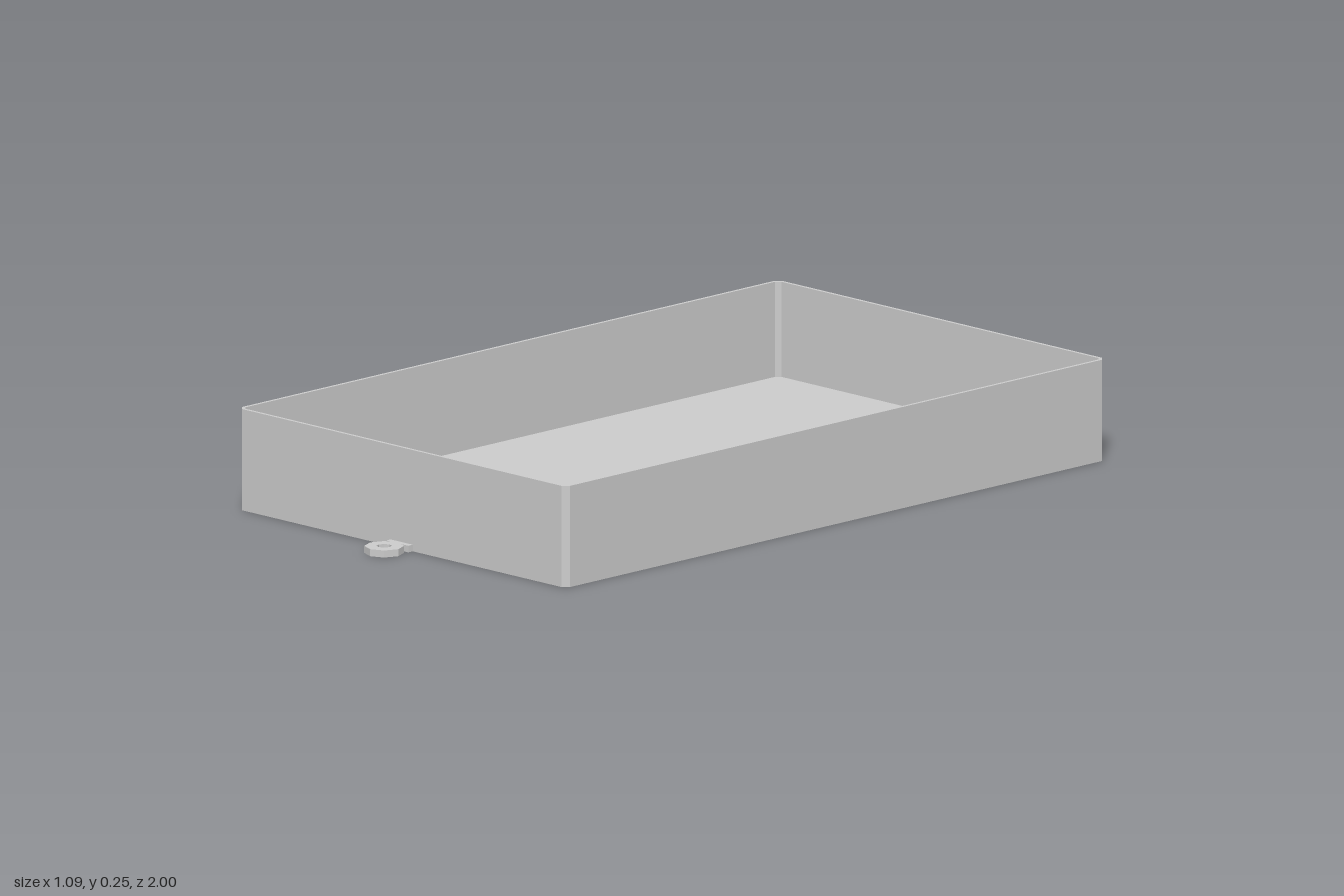
import * as THREE from 'three';

const W = 0.547, L = 0.895, H = 0.245;      // half width, half length, wall height
const WALL = 0.008, FLOOR = 0.015, CUT = 0.014;

// Rectangle with chamfered corners, as outline points
function chamferedRect(w, l, c) {
  return [
    [w, -l + c], [w, l - c], [w - c, l], [-w + c, l],
    [-w, l - c], [-w, -l + c], [-w + c, -l], [w - c, -l],
  ].map(([x, y]) => new THREE.Vector2(x, y));
}

// Regular polygon with a corner on the x axis
function polygon(radius, sides) {
  return Array.from({ length: sides }, (_, i) => {
    const a = (i / sides) * Math.PI * 2;
    return new THREE.Vector2(radius * Math.cos(a), radius * Math.sin(a));
  });
}

// Flat outline raised upwards from y = 0
function slab(outline, height, hole) {
  const shape = new THREE.Shape(outline);
  if (hole) shape.holes.push(new THREE.Path(hole));
  return new THREE.ExtrudeGeometry(shape, { depth: height, bevelEnabled: false }).rotateX(-Math.PI / 2);
}

export function createModel() {
  const model = new THREE.Group();
  model.name = 'tray';
  const grey = new THREE.MeshStandardMaterial({ color: 0xcccccc });
  grey.name = 'grey plastic';

  const add = (name, geometry, x = 0, y = 0, z = 0) => {
    const mesh = new THREE.Mesh(geometry, grey);
    mesh.name = name;
    mesh.position.set(x, y, z);
    model.add(mesh);
  };

  // Open box: one wall ring around a floor plate
  const inner = chamferedRect(W - WALL, L - WALL, CUT - 0.004);
  add('walls', slab(chamferedRect(W, L, CUT), H, inner));
  add('floor', slab(inner, FLOOR));

  for (const side of [1, -1]) {
    const end = side > 0 ? 'front' : 'back';
    // Screw lug: eight-sided ring on a short tab
    add(end + 'LugRing', slab(polygon(0.047, 8), 0.017, polygon(0.018, 8)), 0, 0, side * 0.953);
    add(end + 'LugTab', new THREE.BoxGeometry(0.074, 0.016, 0.016), 0, 0.008, side * 0.902);
    // Six-sided post standing on the floor
    add(end + 'Post', slab(polygon(0.03, 6), 0.035), 0.465, FLOOR, side * 0.815);
  }
  return model;
}
